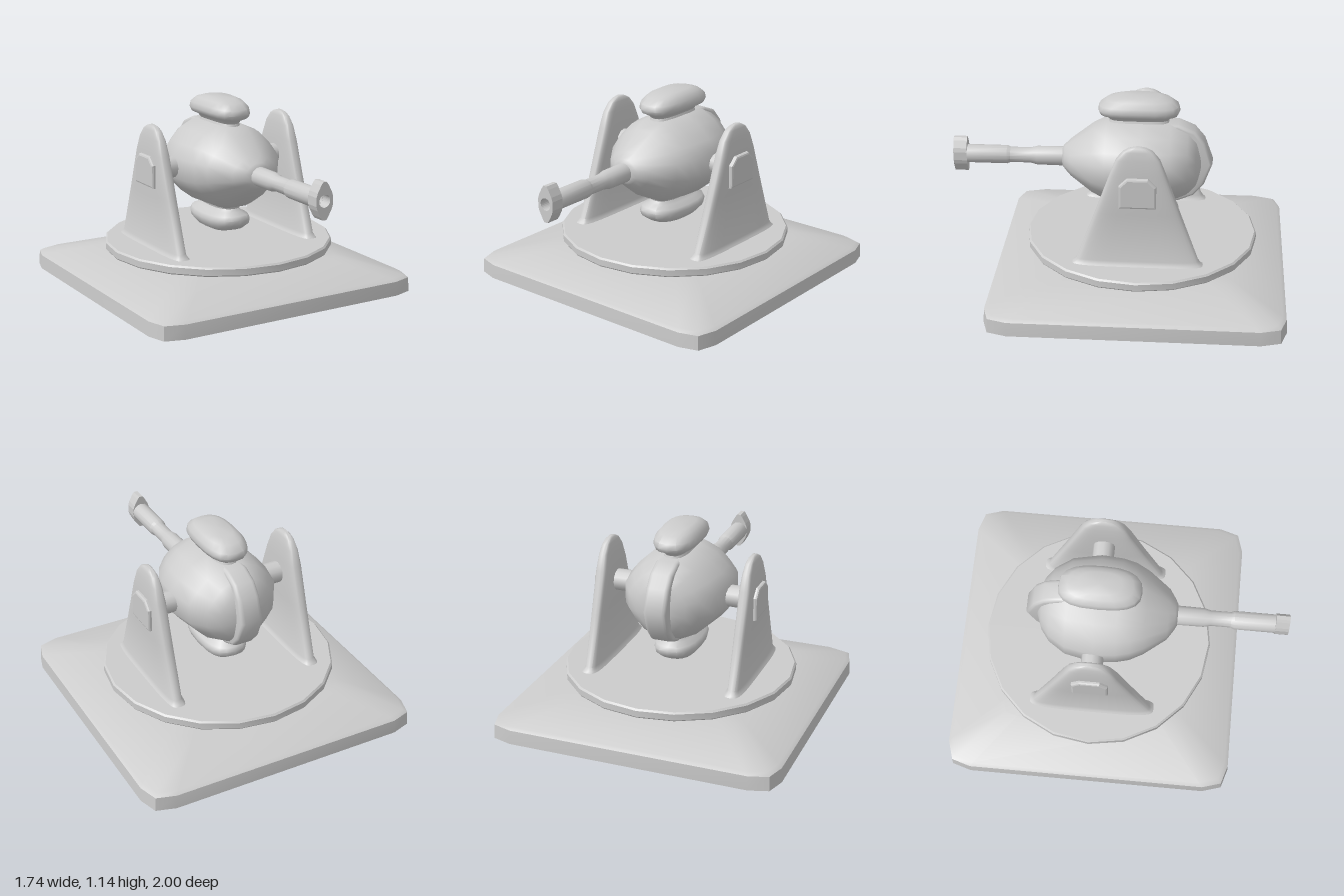
import * as THREE from 'three';
import { toCreasedNormals } from 'three/addons/utils/BufferGeometryUtils.js';

const CZ = -0.13; // turntable axis
const CY = 0.737; // gun axis height
const material = new THREE.MeshStandardMaterial({ color: 0xcccccc });

// Skin a list of equal-sized rings, counter-clockwise about the direction of travel
function loft(rings, crease = 0.6) {
  const n = rings[0].length;
  const pos = rings.flat(2);
  const idx = [];
  for (let i = 0; i < rings.length - 1; i++) {
    for (let j = 0; j < n; j++) {
      const k = (j + 1) % n, a = i * n + j, b = i * n + k;
      idx.push(a, b, b + n, a, b + n, a + n);
    }
  }
  // End caps as fans
  [rings[0], rings[rings.length - 1]].forEach((ring, end) => {
    const c = pos.length / 3, o = end * (rings.length - 1) * n;
    for (let q = 0; q < 3; q++) pos.push(ring.reduce((s, p) => s + p[q], 0) / n);
    for (let j = 0; j < n; j++) {
      const k = (j + 1) % n;
      idx.push(c, o + (end ? j : k), o + (end ? k : j));
    }
  });
  const g = new THREE.BufferGeometry();
  g.setAttribute('position', new THREE.Float32BufferAttribute(pos, 3));
  g.setIndex(idx);
  return toCreasedNormals(g, crease);
}

// Superellipse outline: power 1 is an ellipse, smaller is boxier
function oval(n, power) {
  return Array.from({ length: n }, (_, i) => {
    const a = (i / n) * Math.PI * 2, c = Math.cos(a), s = Math.sin(a);
    return [Math.sign(c) * Math.abs(c) ** power, Math.sign(s) * Math.abs(s) ** power];
  });
}

// Mirror one quadrant of an outline into a full counter-clockwise loop
function fourfold(q) {
  const r = [...q].reverse();
  return [...q, ...r.map(([x, y]) => [-x, y]), ...q.map(([x, y]) => [-x, -y]), ...r.map(([x, y]) => [x, -y])];
}

function lathe(points, sides, crease = 0.6) {
  const g = new THREE.LatheGeometry(points.map(([r, y]) => new THREE.Vector2(r, y)), sides);
  return toCreasedNormals(g, crease);
}

function polygon(points) {
  return new THREE.Shape(points.map(([x, y]) => new THREE.Vector2(x, y)));
}

export function createModel() {
  const group = new THREE.Group();
  const add = (name, geometry, x = 0, y = 0, z = 0, parent = group) => {
    const m = new THREE.Mesh(geometry, material);
    m.name = name;
    m.position.set(x, y, z);
    parent.add(m);
    return m;
  };

  // Square plinth with clipped corners and a sloping top
  const plinth = fourfold([[0.87, 0.72], [0.835, 0.835], [0.72, 0.87]]);
  add('plinth', loft([[0, 1], [0.085, 0.995], [0.1, 0.97], [0.183, 0.63]].map(
    ([y, s]) => plinth.map(([x, z]) => [x * s, y, -z * s])), 0.7), 0, 0, CZ);

  // Neck and turntable
  add('neck', new THREE.CylinderGeometry(0.245, 0.245, 0.06, 20), 0, 0.2, CZ);
  add('turntable', lathe([[0, 0.218], [0.69, 0.218], [0.695, 0.225], [0.695, 0.262],
    [0.685, 0.272], [0, 0.272]], 20), 0, 0, CZ);

  // Tapering support plates, axles and pivot covers
  const plate = oval(32, 0.5);
  const levels = [[0.265, 0.065, 0.39], [0.28, 0.053, 0.37], [0.3, 0.043, 0.355], [0.6, 0.043, 0.245],
    [0.84, 0.042, 0.16], [0.93, 0.033, 0.125], [0.98, 0.025, 0.085], [1.0, 0.018, 0.05], [1.01, 0.008, 0.015]];
  const supportGeo = loft(levels.map(([y, t, d]) => plate.map(([x, z]) => [x * t, y, -z * d])), 0.8);
  const coverGeo = new THREE.ExtrudeGeometry(
    polygon([[-0.095, -0.08], [0.095, -0.08], [0.095, 0.04], [0.055, 0.08], [-0.055, 0.08], [-0.095, 0.04]]),
    { depth: 0.025, bevelSize: 0.012, bevelThickness: 0.012, bevelSegments: 2 });
  coverGeo.translate(0, 0, -0.0125);
  coverGeo.rotateY(Math.PI / 2);
  const axleGeo = new THREE.CylinderGeometry(0.065, 0.065, 0.18, 12);
  axleGeo.rotateZ(Math.PI / 2);
  for (const [side, s] of [['left', 1], ['right', -1]]) {
    add(side + 'Support', supportGeo, s * 0.445, 0, CZ);
    add(side + 'PivotCover', coverGeo, s * 0.485, 0.74, CZ);
    add(side + 'Axle', axleGeo, s * 0.34, CY, CZ);
  }

  // Gun body: faceted cross-sections swelling from back to front
  const gun = new THREE.Group();
  gun.name = 'gun';
  gun.position.y = CY;
  group.add(gun);
  const hull = fourfold([[1, 0.25], [0.82, 0.53], [0.58, 0.81], [0.24, 1]]);
  const stations = [[-0.48, 0.07, 0.09], [-0.45, 0.15, 0.16], [-0.4, 0.215, 0.205], [-0.3, 0.28, 0.245],
    [-0.13, 0.315, 0.252], [0, 0.305, 0.25], [0.08, 0.285, 0.243], [0.16, 0.245, 0.205],
    [0.29, 0.15, 0.11], [0.33, 0.09, 0.075], [0.345, 0.06, 0.06]];
  add('body', loft(stations.map(([z, w, h]) => hull.map(([x, y]) => [x * w, y * h, z])), 0.9), 0, 0, 0, gun);

  // Raised ridge wrapped round the back
  const ridgeHalf = [[0.2, 0.23], [0.34, 0.228], [0.43, 0.19], [0.485, 0.125]];
  const ridgeGeo = new THREE.ExtrudeGeometry(
    polygon([...ridgeHalf.map(([z, y]) => [z, -y]).slice(), [0.53, 0], ...[...ridgeHalf].reverse()]),
    { depth: 0.09, bevelSize: 0.018, bevelThickness: 0.025, bevelSegments: 3 });
  ridgeGeo.translate(0, 0, -0.045);
  ridgeGeo.rotateY(Math.PI / 2);
  add('rearRidge', toCreasedNormals(ridgeGeo, 0.8), 0, 0, 0, gun);

  // Domed pods above and below, bowed along their length
  const podLoop = oval(20, 0.75);
  const podLevels = [[0.22, 0.085, 0.19], [0.265, 0.07, 0.175], [0.285, 0.085, 0.19], [0.305, 0.122, 0.23],
    [0.33, 0.132, 0.242], [0.36, 0.125, 0.236], [0.39, 0.1, 0.19], [0.405, 0.07, 0.125]];
  const podGeo = loft(podLevels.map(([y, w, d]) => podLoop.map(
    ([x, z]) => [x * w, y - 0.012 * (z * d / 0.24) ** 2, -z * d])), 0.8);
  add('topPod', podGeo, 0, 0, -0.11, gun);
  add('bottomPod', podGeo, 0, 0, -0.11, gun).rotation.z = Math.PI;

  // Stepped barrel with an open bore
  const barrelGeo = lathe([[0, 0.3], [0.058, 0.3], [0.056, 0.5], [0.046, 0.54], [0.046, 0.66], [0.055, 0.68],
    [0.055, 0.93], [0.036, 0.93], [0.036, 0.85], [0, 0.85]], 14);
  barrelGeo.rotateX(Math.PI / 2);
  add('barrel', barrelGeo, 0, 0, 0, gun);

  // Tall lens-shaped muzzle plate with the bore through it
  const muzzle = polygon(fourfold([[0.054, 0.025], [0.046, 0.05], [0.024, 0.09], [0.012, 0.107]]));
  muzzle.holes.push(new THREE.Path().absarc(0, 0, 0.036, 0, Math.PI * 2, true));
  add('muzzle', new THREE.ExtrudeGeometry(muzzle, { depth: 0.08, bevelEnabled: false, curveSegments: 14 }),
    0, 0, 0.92, gun);

  return group;
}
